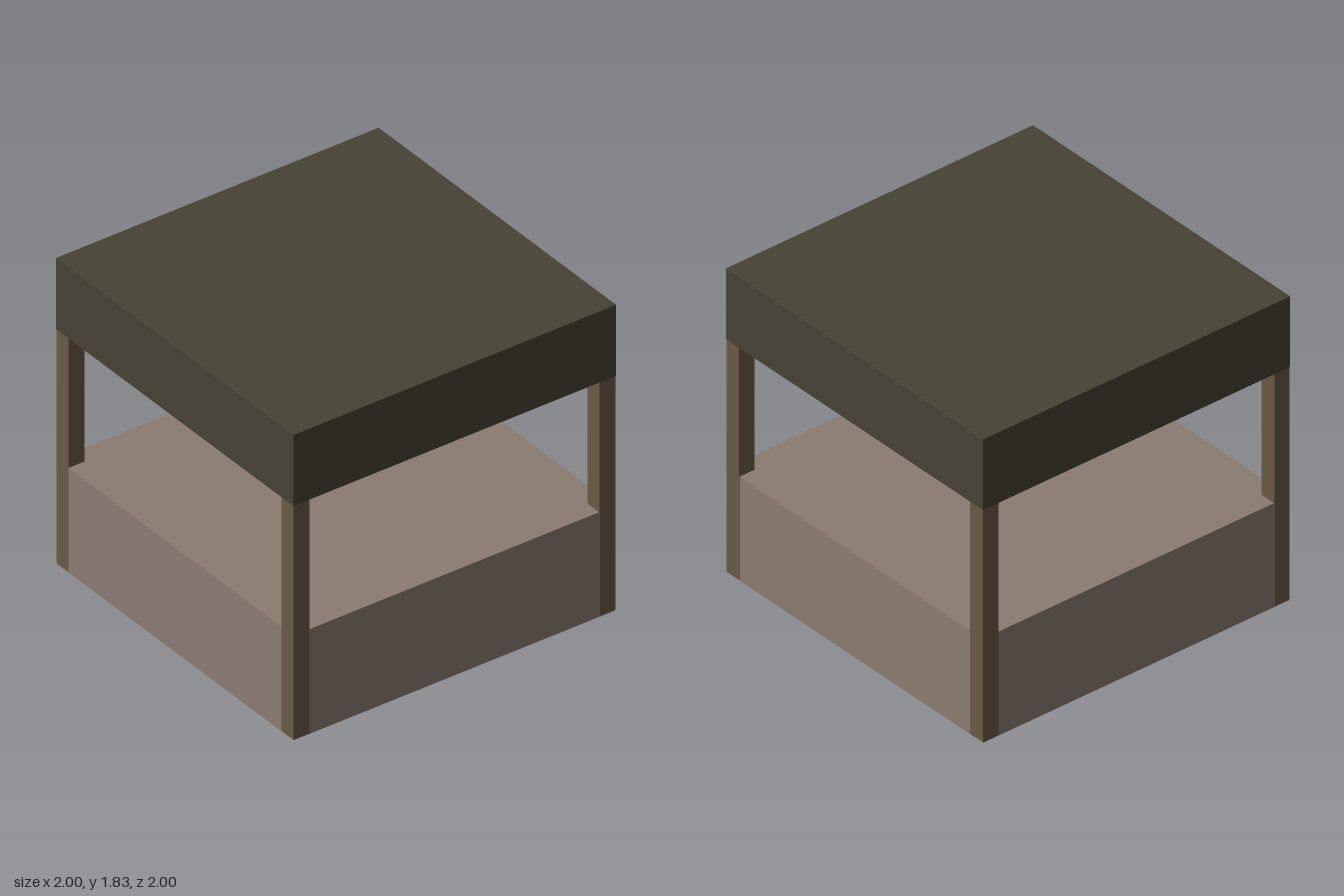
import * as THREE from 'three';

const stone = new THREE.MeshStandardMaterial({ name: 'taupe base', color: 0x8b7c72, side: THREE.DoubleSide });
const wood = new THREE.MeshStandardMaterial({ name: 'brown wood', color: 0x6a5a45 });
const cover = new THREE.MeshStandardMaterial({ name: 'dark olive roof', color: 0x474235, side: THREE.DoubleSide });

// Thin box shell with no underside, standing on height y
function openShell(name, width, y, height, material) {
  const geometry = new THREE.BoxGeometry(width, height, width);
  const index = Array.from(geometry.index.array);
  index.splice(18, 6); // drop the bottom face
  geometry.setIndex(index);
  geometry.clearGroups();
  const mesh = new THREE.Mesh(geometry, material);
  mesh.name = name;
  mesh.position.y = y + height / 2;
  return mesh;
}

export function createModel() {
  const model = new THREE.Group();
  model.name = 'openPavilion';

  // Hollow base and roof
  model.add(openShell('base', 1.992, 0, 0.625, stone));
  model.add(openShell('roof', 2, 1.402, 0.424, cover));

  // Corner posts, running from the ground up inside the roof
  const bottom = 0.006, top = 1.82, size = 0.1;
  const postGeometry = new THREE.BoxGeometry(size, top - bottom, size);
  const offset = 0.998 - size / 2;
  for (const x of [-1, 1]) {
    for (const z of [-1, 1]) {
      const post = new THREE.Mesh(postGeometry, wood);
      post.name = `${z > 0 ? 'front' : 'back'}${x > 0 ? 'Left' : 'Right'}Post`;
      post.position.set(x * offset, (bottom + top) / 2, z * offset);
      model.add(post);
    }
  }
  return model;
}
